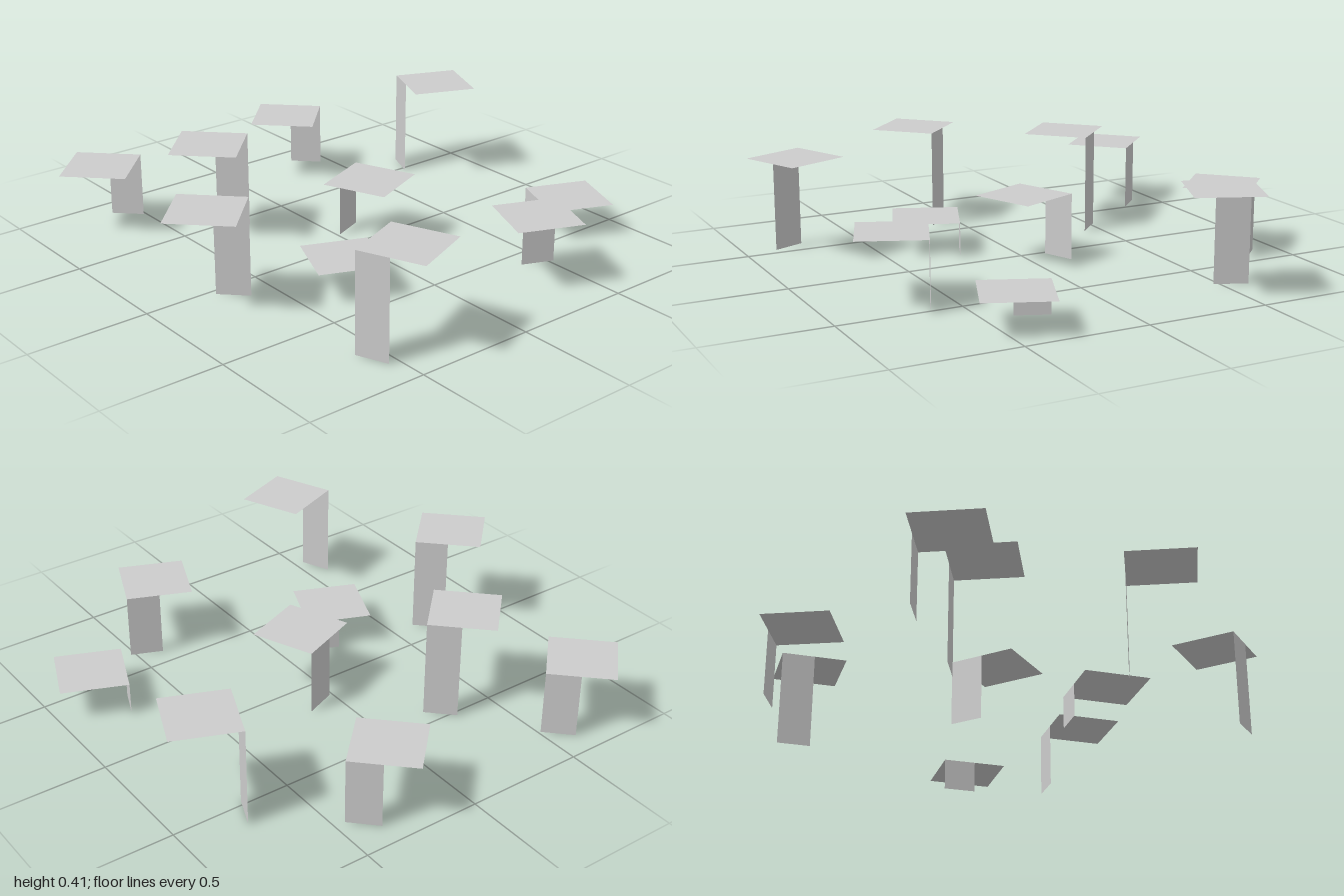
import * as THREE from 'three';

const SIDE = 0.275;
const STEP = SIDE / 2; // heights are whole multiples of half a panel

// centre x, centre z, height in steps, turn in degrees
const TABLES = [
  [-0.425, -0.82, 3, -22.5],
  [0.435, -0.81, 1, -22.5],
  [0.71, -0.34, 2, -112.5],
  [-0.803, -0.26, 2, -135],
  [0.022, -0.066, 2, -67.5],
  [0.297, 0.291, 1, -112.5],
  [-0.425, 0.415, 3, -135],
  [-0.803, 0.705, 2, -135],
  [0.125, 0.802, 3, -135],
  [0.813, 0.416, 3, 22.5],
];

export function createModel() {
  const model = new THREE.Group();
  model.name = 'panelTables';

  const grey = new THREE.MeshStandardMaterial({ color: 0xcccccc, side: THREE.DoubleSide });
  grey.name = 'light grey';

  const topGeometry = new THREE.PlaneGeometry(SIDE, SIDE).rotateX(-Math.PI / 2);

  TABLES.forEach(([x, z, steps, degrees], i) => {
    const height = steps * STEP;
    const table = new THREE.Group();
    table.name = `table${i + 1}`;
    table.position.set(x, 0, z);
    table.rotation.y = THREE.MathUtils.degToRad(degrees);

    // flat square top
    const top = new THREE.Mesh(topGeometry, grey);
    top.name = 'tableTop';
    top.position.y = height;

    // upright sheet under one half of one edge
    const support = new THREE.Mesh(new THREE.PlaneGeometry(SIDE / 2, height), grey);
    support.name = 'support';
    support.position.set(-SIDE / 4, height / 2, SIDE / 2);

    table.add(top, support);
    model.add(table);
  });

  return model;
}
